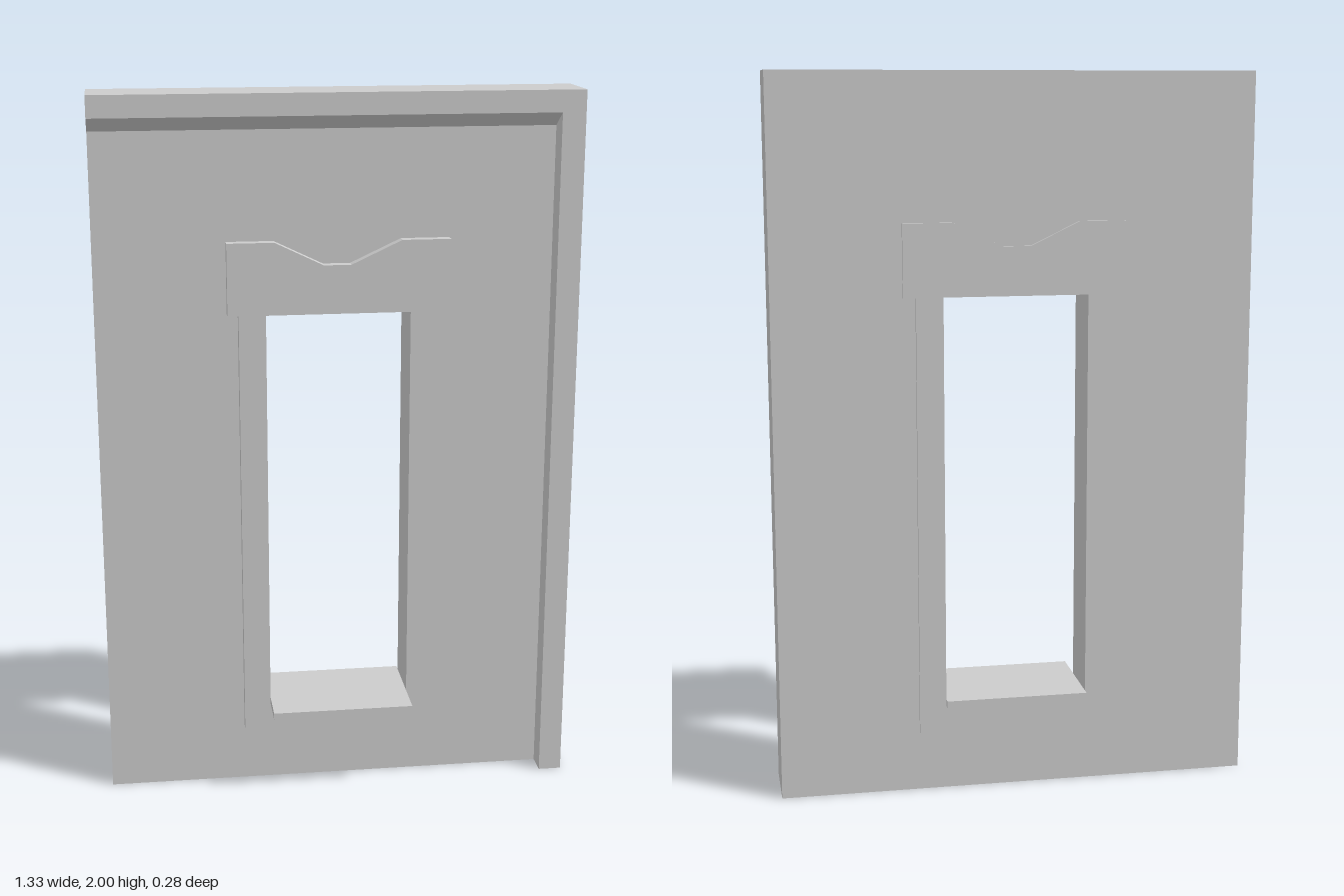
import * as THREE from 'three';

const mat = new THREE.MeshStandardMaterial({ color: 0xcccccc, flatShading: true, side: THREE.DoubleSide });

// Main dimensions
const L = -0.665, R = 0.665, POST = 0.6, TOP = 2;
const BACK = -0.115, FACE = 0, FRONT = 0.065;
const LIP = 1.94, SLOPE = 1.9;
const HOLE = [[-0.2, 0.245], [0.2, 0.245], [0.2, 1.4], [-0.2, 1.4]];
const TRIM_BACK = -0.125, TRIM_FRONT = 0.03;

const points = (list) => list.map(([x, y]) => new THREE.Vector2(x, y));

// Outline pierced by the window opening
function piercedShape(outline) {
  const shape = new THREE.Shape(points(outline));
  shape.holes.push(new THREE.Path(points(HOLE)));
  return shape;
}

const rect = (x0, x1, y0, y1) => [[x0, y0], [x1, y0], [x1, y1], [x0, y1]];

// Flat four-cornered panel, corners counter-clockwise from outside
function quad(...corners) {
  const [a, b, c, d] = corners;
  const g = new THREE.BufferGeometry();
  g.setAttribute('position', new THREE.Float32BufferAttribute([a, b, c, a, c, d].flat(), 3));
  g.computeVertexNormals();
  return g;
}

export function createModel() {
  const group = new THREE.Group();
  const add = (name, geometry, z = 0) => {
    const mesh = new THREE.Mesh(geometry, mat);
    mesh.name = name;
    mesh.position.z = z;
    group.add(mesh);
    return mesh;
  };

  // Front and back wall skins; the plain end and the bottom stay open
  add('frontWall', new THREE.ShapeGeometry(piercedShape(rect(L, POST, 0, SLOPE))), FACE);
  const back = new THREE.ShapeGeometry(piercedShape(rect(L, R, 0, TOP)));
  back.rotateY(Math.PI);
  // symmetric outline, so the half turn only flips its facing
  add('backWall', back, BACK);

  // Top, and the overhanging ledge with its sloped underside
  add('wallTop', quad([L, TOP, FRONT], [R, TOP, FRONT], [R, TOP, BACK], [L, TOP, BACK]));
  add('ledgeFront', quad([L, LIP, FRONT], [R, LIP, FRONT], [R, TOP, FRONT], [L, TOP, FRONT]));
  add('ledgeSlope', quad([L, SLOPE, FACE], [POST, SLOPE, FACE], [POST, LIP, FRONT], [L, LIP, FRONT]));

  // Upright post on the closed end
  add('postFront', quad([POST, 0, FRONT], [R, 0, FRONT], [R, LIP, FRONT], [POST, LIP, FRONT]));
  add('postInnerSide', quad([POST, 0, FACE], [POST, 0, FRONT], [POST, LIP, FRONT], [POST, SLOPE, FACE]));
  add('endWall', quad([R, 0, FRONT], [R, 0, BACK], [R, TOP, BACK], [R, TOP, FRONT]));

  // Window reveal: four panels lining the opening
  HOLE.forEach(([x0, y0], i) => {
    const [x1, y1] = HOLE[(i + 1) % 4];
    add('windowReveal', quad([x0, y0, FACE], [x1, y1, FACE], [x1, y1, BACK], [x0, y0, BACK]));
  });

  // Carved window surround, on both faces of the wall
  const surround = piercedShape([
    [-0.275, 0.17], [-0.165, 0.17], [-0.12, 0.205], [0.08, 0.205], [0.13, 0.17], [0.275, 0.17],
    [0.275, 1.4], [0.31, 1.4], [0.31, 1.6], [0.175, 1.6], [0.035, 1.535], [-0.04, 1.535],
    [-0.175, 1.6], [-0.305, 1.6], [-0.305, 1.4], [-0.275, 1.4],
  ]);
  const trim = (depth) => new THREE.ExtrudeGeometry(surround, { depth, bevelEnabled: false });
  add('frontWindowTrim', trim(TRIM_FRONT - FACE), FACE);
  add('backWindowTrim', trim(BACK - TRIM_BACK), TRIM_BACK);

  // Window sill running through the wall
  const sill = add('windowSill', new THREE.BoxGeometry(0.4, 0.02, 0.285), -0.0025);
  sill.position.y = 0.255;

  return group;
}
